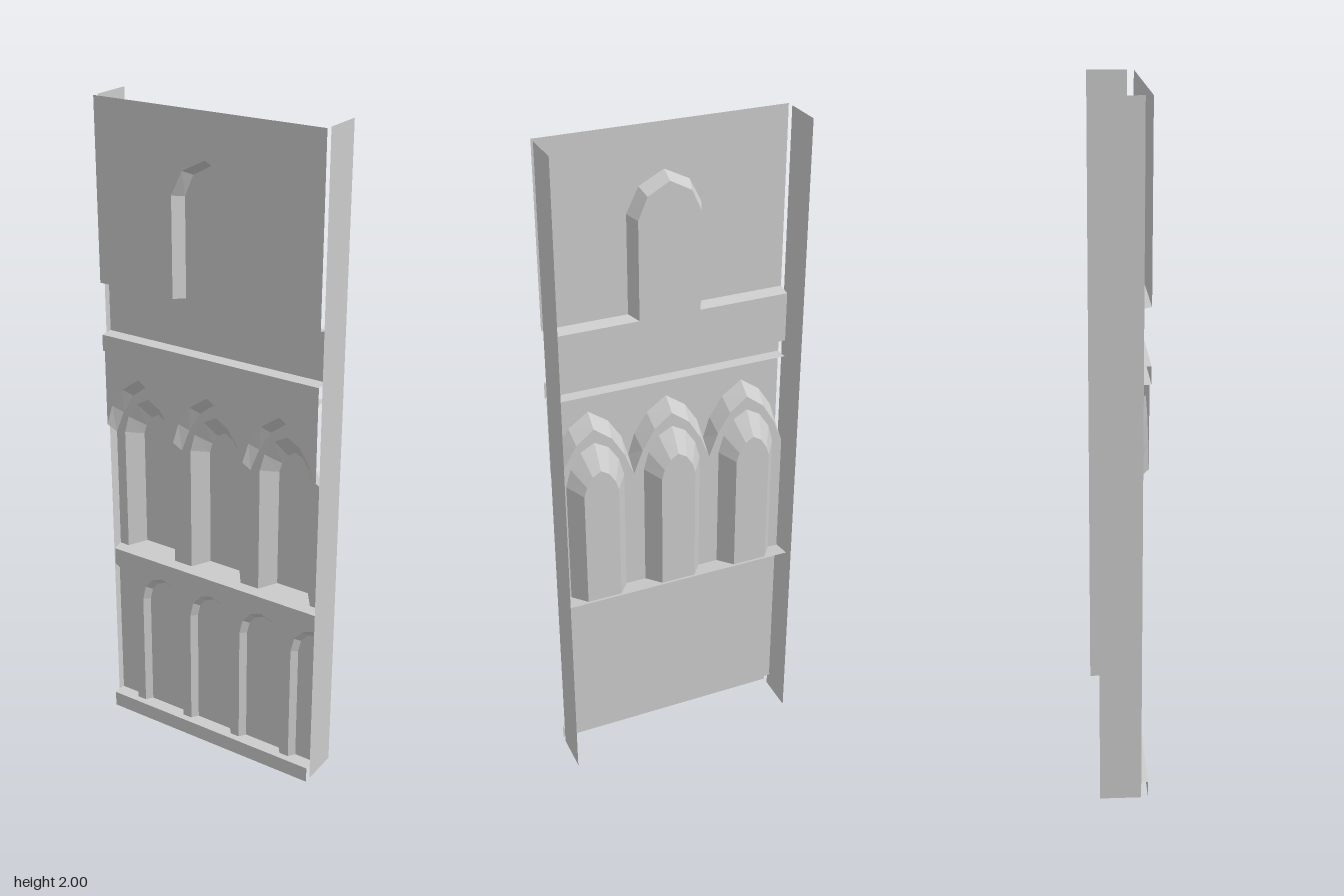
import * as THREE from 'three';

const W = 0.36;      // half width of the arcades
const EDGE = 0.363;  // half width of side panels and ledges

const mat = new THREE.MeshStandardMaterial({
  color: 0xcccccc, flatShading: true, side: THREE.DoubleSide,
});

// Full arch path from left foot to right foot, mirrored from its right half (foot to crown)
function arch(half, cx = 0) {
  const right = half.map(([x, y]) => [cx + x, y]);
  const left = half.slice(0, -1).map(([x, y]) => [cx - x, y]);
  return [...left, ...right.reverse()].filter(([x]) => Math.abs(x) <= W + 0.0001);
}

// Joins a row of arches into one path, dropping shared points
function row(half, centres) {
  const path = [];
  for (const p of centres.flatMap((c) => arch(half, c))) {
    const q = path[path.length - 1];
    if (!q || Math.hypot(p[0] - q[0], p[1] - q[1]) > 0.001) path.push(p);
  }
  return path;
}

export function createModel() {
  const group = new THREE.Group();

  const add = (name, geometry) => {
    const mesh = new THREE.Mesh(geometry, mat);
    mesh.name = name;
    group.add(mesh);
  };

  // Flat plate at depth z between a lower and an upper path (both left to right)
  const plate = (name, lower, upper, z) => {
    const outline = [...lower, ...[...upper].reverse()];
    const shape = new THREE.Shape(outline.map(([x, y]) => new THREE.Vector2(x, y)));
    add(name, new THREE.ShapeGeometry(shape).translate(0, 0, z));
  };

  // Strip of quads joining two 3D paths with equal point counts
  const loft = (name, a, b) => {
    const pos = [];
    for (let i = 0; i < a.length - 1; i++) {
      pos.push(...a[i], ...b[i], ...a[i + 1], ...a[i + 1], ...b[i], ...b[i + 1]);
    }
    const g = new THREE.BufferGeometry();
    g.setAttribute('position', new THREE.Float32BufferAttribute(pos, 3));
    g.computeVertexNormals();
    add(name, g);
  };

  // Splayed reveal from a front arch to a back arch
  const reveal = (name, front, zf, back, zb, cx = 0) => loft(name,
    arch(front, cx).map(([x, y]) => [x, y, zf]),
    arch(back, cx).map(([x, y]) => [x, y, zb]));

  // Horizontal moulding: a [z, y] profile swept across the width
  const ledge = (name, profile, x0 = -EDGE, x1 = EDGE) => loft(name,
    profile.map(([z, y]) => [x0, y, z]),
    profile.map(([z, y]) => [x1, y, z]));

  const level = (y, w = EDGE) => [[-w, y], [w, y]];

  // Side panels
  for (const s of [-1, 1]) {
    add(s > 0 ? 'leftSidePanel' : 'rightSidePanel',
      new THREE.PlaneGeometry(0.12, 2).rotateY(s * Math.PI / 2).translate(s * EDGE, 1, -0.01));
  }

  // Upper storey: front wall with a notched window over a recessed wall
  const winFront = [[0.11, 1.467], [0.11, 1.76], [0.074, 1.832], [0, 1.87]];
  const winBack = [[0.092, 1.46], [0.092, 1.752], [0.064, 1.815], [0, 1.85]];
  plate('upperWall', [[-EDGE, 1.467], ...arch(winFront), [EDGE, 1.467]], level(2), 0.07);
  reveal('windowReveal', winFront, 0.07, winBack, 0.03);
  plate('windowRecessWall', level(1.31), [[-EDGE, 1.46], ...arch(winBack), [EDGE, 1.46]], 0.03);
  for (const s of [-1, 1]) {
    loft('upperWallSoffit',
      [[s * EDGE, 1.467, 0.07], [s * 0.11, 1.467, 0.07]],
      [[s * EDGE, 1.46, 0.03], [s * 0.092, 1.46, 0.03]]);
  }

  // Cornice
  ledge('cornice', [[0.03, 1.31], [0.07, 1.308], [0.07, 1.258], [0.03, 1.258]]);

  // Middle storey: pointed arcade with splayed niches
  const bays = [-0.24, 0, 0.24];
  const hoodFront = [[0.12, 1.02], [0.1, 1.085], [0.06, 1.147], [0, 1.19]];
  const hoodBack = [[0.12, 0.978], [0.092, 1.05], [0.054, 1.113], [0, 1.155]];
  const nicheFront = [[0.089, 0.592], [0.089, 0.985], [0.074, 1.04], [0.042, 1.088], [0, 1.112]];
  const nicheBack = [[0.053, 0.598], [0.053, 0.97], [0.044, 1.0], [0.025, 1.03], [0, 1.045]];
  plate('spandrelWall', row(hoodFront, bays), level(1.258, W), 0.065);
  plate('arcadePiers', [[-W, 0.592], ...row(nicheFront, bays), [W, 0.592]],
    row(hoodBack, bays), 0.02);
  for (const c of bays) {
    reveal('archHood', hoodFront, 0.065, hoodBack, 0.02, c);
    reveal('nicheReveal', nicheFront, 0.02, nicheBack, -0.03, c);
    plate('nicheBack', [], arch(nicheBack, c), -0.03);
  }

  // Sill under the niches
  ledge('sill', [[-0.04, 0.6], [0.05, 0.585]]);

  // Lower storey: shallow blind arcade in front of a flat wall
  const blindBays = [-0.36, -0.18, 0, 0.18, 0.36];
  const blindFront = [[0.075, 0.05], [0.075, 0.435], [0.064, 0.483], [0.036, 0.516], [0, 0.53]];
  const blindBack = [[0.06, 0.05], [0.06, 0.432], [0.051, 0.47], [0.03, 0.496], [0, 0.508]];
  plate('blindArcade', row(blindFront, blindBays), level(0.585, W), 0.05);
  for (const c of blindBays) reveal('blindArchReveal', blindFront, 0.05, blindBack, 0.03, c);
  plate('lowerWall', level(0.05, W), level(0.588, W), 0.03);

  // Plinth
  ledge('plinth', [[0.03, 0.052], [0.07, 0.05], [0.07, 0]]);

  return group;
}
